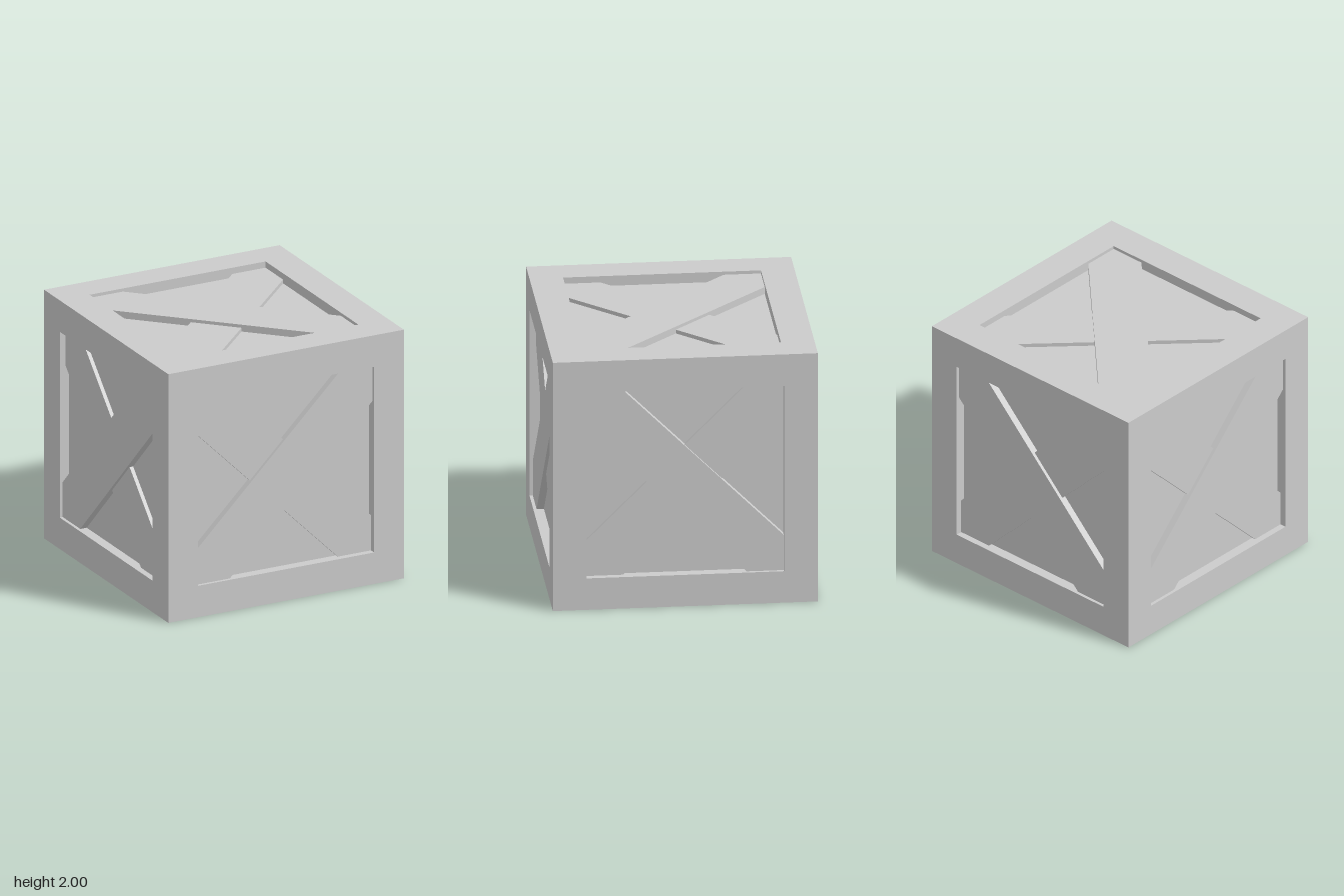
import * as THREE from 'three';

const HOLE = 0.747;   // half width of the opening in each frame
const PANEL = 0.92;   // distance of the recessed panel from the centre
const LOWER = 0.95;   // outer surface of the lower brace
const UPPER = 0.975;  // outer surface of the upper brace
const OFFSET = 0.282; // where a brace edge crosses the face axes

const material = new THREE.MeshStandardMaterial({ color: 0xcccccc, flatShading: true });

function square(half, Type = THREE.Shape) {
  const s = new Type();
  s.moveTo(-half, -half);
  s.lineTo(half, -half);
  s.lineTo(half, half);
  s.lineTo(-half, half);
  s.closePath();
  return s;
}

// Square ring whose outer rim is mitred at 45 degrees to meet its neighbours
function frameGeometry() {
  const shape = square(1);
  shape.holes.push(square(HOLE, THREE.Path));
  const geo = new THREE.ExtrudeGeometry(shape, { depth: 1 - PANEL, bevelEnabled: false });
  geo.translate(0, 0, PANEL);
  const p = geo.attributes.position;
  for (let i = 0; i < p.count; i++) {
    if (Math.abs(p.getX(i)) > 0.99 && p.getZ(i) < 0.99) {
      p.setXY(i, p.getX(i) * PANEL, p.getY(i) * PANEL);
    }
  }
  geo.computeVertexNormals();
  return geo;
}

// Diagonal board with its ends cut to the corners of the opening
function braceGeometry(side, top) {
  const a = HOLE, b = HOLE - OFFSET;
  const points = [[-a, -a], [-b, -a], [a, b], [a, a], [b, a], [-a, -b]]
    .map(([x, y]) => new THREE.Vector2(side * x, y));
  const geo = new THREE.ExtrudeGeometry(new THREE.Shape(points), { depth: top - PANEL, bevelEnabled: false });
  return geo.translate(0, 0, PANEL);
}

export function createModel() {
  const model = new THREE.Group();
  model.name = 'crate';
  const add = (parent, geo, name) => {
    const mesh = new THREE.Mesh(geo, material);
    mesh.name = name;
    parent.add(mesh);
  };

  // Inner box whose sides are the recessed panels
  const body = new THREE.Group();
  body.name = 'crateBody';
  body.position.y = 1;
  model.add(body);
  add(body, new THREE.BoxGeometry(2 * PANEL, 2 * PANEL, 2 * PANEL), 'panels');

  const frame = frameGeometry();
  const lower = braceGeometry(-1, LOWER);
  const upper = braceGeometry(1, UPPER);

  // Six sides: each has its own across, up and outward axes
  const X = new THREE.Vector3(1, 0, 0);
  const Y = new THREE.Vector3(0, 1, 0);
  const Z = new THREE.Vector3(0, 0, 1);
  const sides = [
    ['front', X, Y, Z], ['back', Y, X, Z.clone().negate()],
    ['left', Y, Z, X], ['right', Z, Y, X.clone().negate()],
    ['top', Z, X, Y], ['bottom', X, Z, Y.clone().negate()],
  ];
  for (const [name, u, v, n] of sides) {
    const side = new THREE.Group();
    side.name = name + 'Side';
    side.quaternion.setFromRotationMatrix(new THREE.Matrix4().makeBasis(u, v, n));
    add(side, frame, name + 'Frame');
    add(side, lower, name + 'LowerBrace');
    add(side, upper, name + 'UpperBrace');
    body.add(side);
  }
  return model;
}
